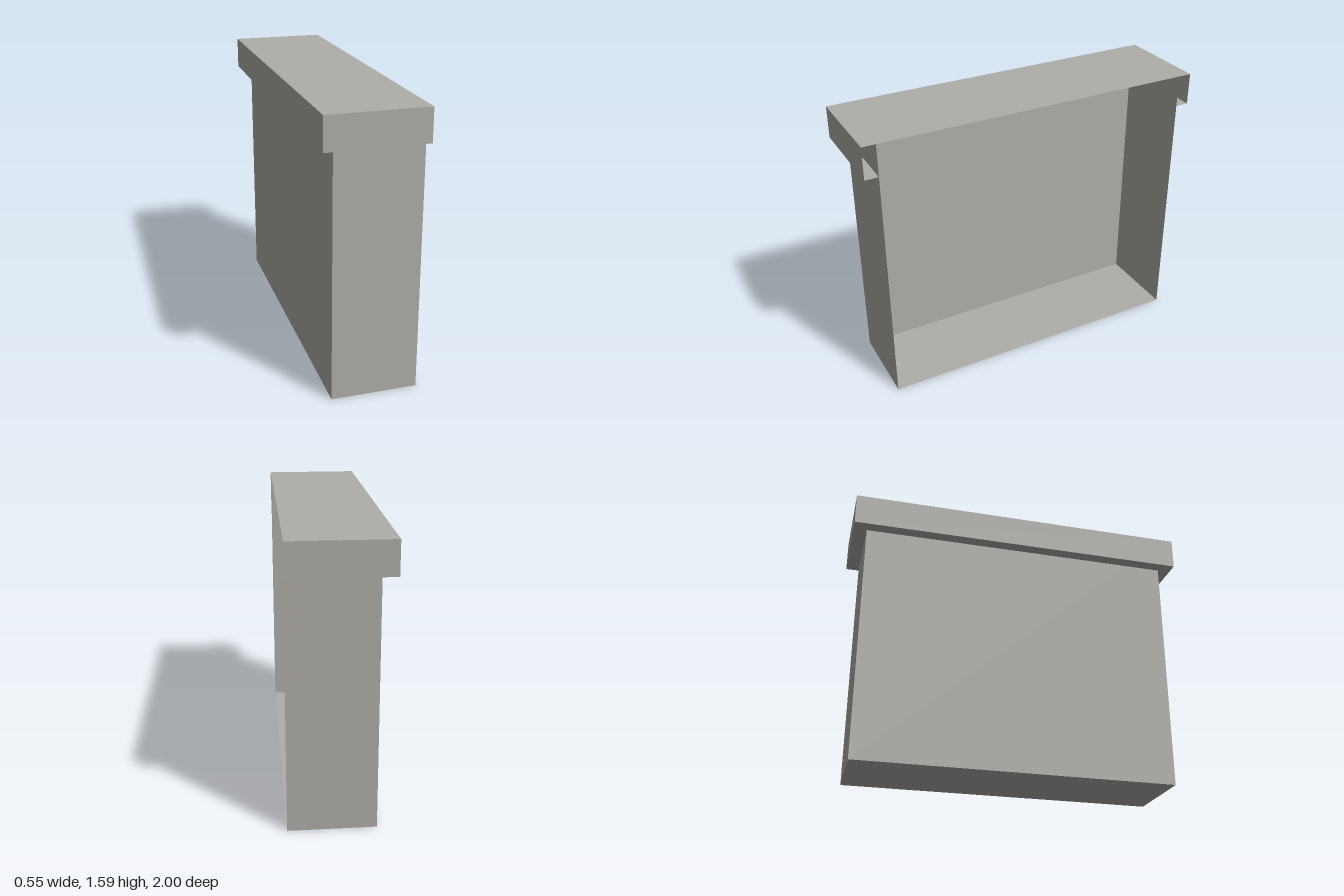
import * as THREE from 'three';

export function createModel() {
  const group = new THREE.Group();
  const stone = new THREE.MeshStandardMaterial({ color: 0xaeada8, side: THREE.DoubleSide });
  stone.name = 'warm grey';

  const open = 0.277, back = -0.205, capBack = -0.277; // x planes
  const bodyZ = 0.923, capZ = 1;                       // half lengths
  const ledge = 1.41, top = 1.594;                     // heights

  // Thin sheet between two opposite corners; one axis has equal values and gives the facing
  function panel(name, a, b, normal) {
    const size = b.map((v, i) => Math.abs(v - a[i]));
    const axis = size.indexOf(0);
    const g = axis === 0 ? new THREE.PlaneGeometry(size[2], size[1]).rotateY(normal * Math.PI / 2)
      : axis === 1 ? new THREE.PlaneGeometry(size[0], size[2]).rotateX(-normal * Math.PI / 2)
        : new THREE.PlaneGeometry(size[0], size[1]).rotateY(normal > 0 ? 0 : Math.PI);
    const mesh = new THREE.Mesh(g, stone);
    mesh.name = name;
    mesh.position.set(...a.map((v, i) => (v + b[i]) / 2));
    group.add(mesh);
  }

  // Body shell, open towards +x
  panel('bodyFloor', [back, 0, -bodyZ], [open, 0, bodyZ], -1);
  panel('bodyBackWall', [back, 0, -bodyZ], [back, top, bodyZ], -1);

  // Cap, a hollow rim around the top of the body
  panel('capTop', [capBack, top, -capZ], [open, top, capZ], 1);
  panel('capBackWall', [capBack, ledge, -capZ], [capBack, top, capZ], -1);
  panel('capBackLedge', [capBack, ledge, -bodyZ], [back, ledge, bodyZ], -1);

  // Mirrored end walls and ledges
  for (const s of [1, -1]) {
    panel('bodyEndWall', [back, 0, s * bodyZ], [open, top, s * bodyZ], s);
    panel('capEndWall', [capBack, ledge, s * capZ], [open, top, s * capZ], s);
    panel('capEndLedge', [capBack, ledge, s * bodyZ], [open, ledge, s * capZ], -1);
  }
  return group;
}
